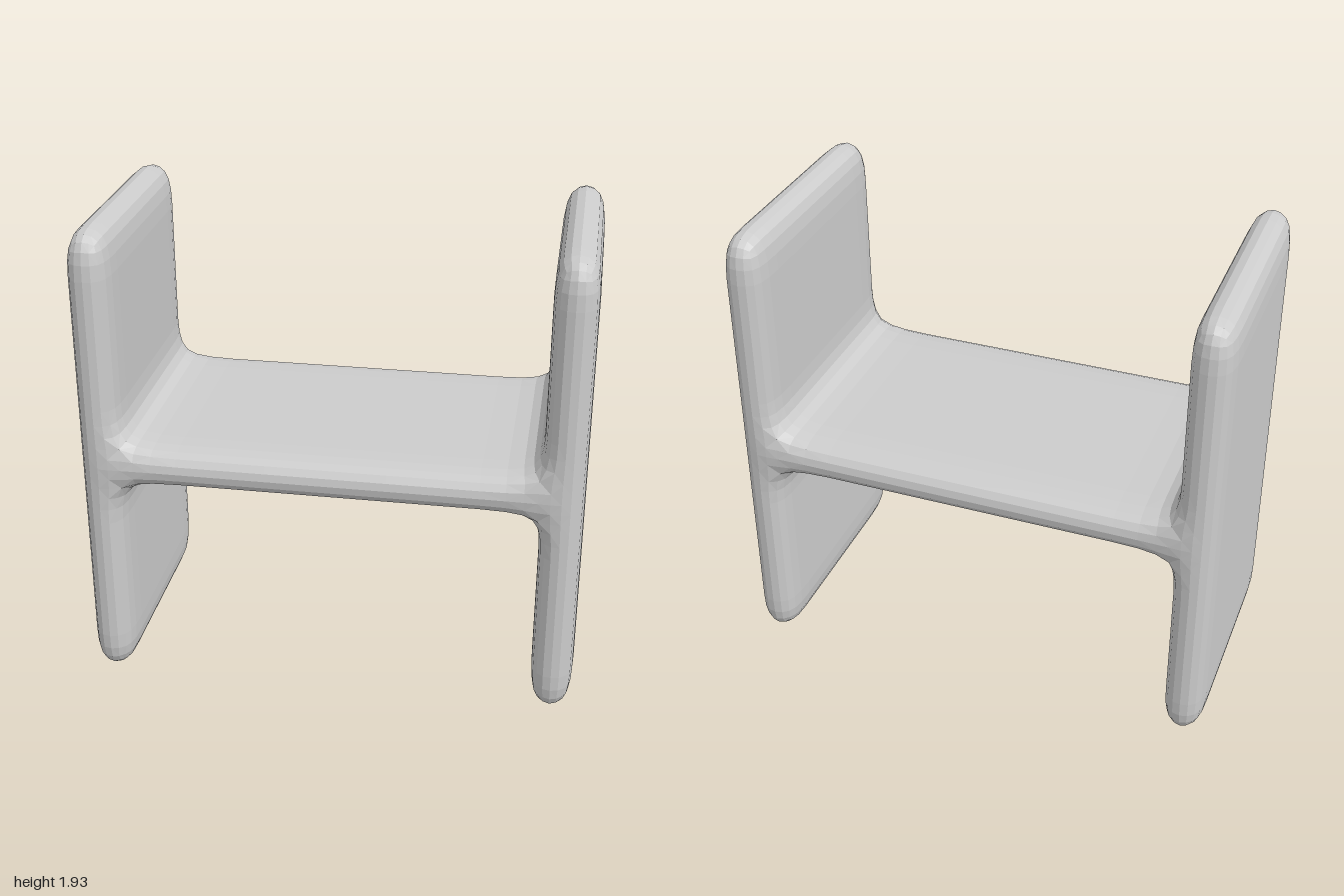
import * as THREE from 'three';

// Cage planes; the occupied cells form two end panels joined by a shelf.
const XS = [-1, -0.83, -0.6, 0.6, 0.83, 1];
const YS = [0, 0.23, 0.69, 0.89, 1.055, 1.25, 1.71, 1.945];
const ZS = [-0.535, -0.33, 0.33, 0.535];

// Quads on the boundary between filled and empty cells, wound outwards.
function buildCage() {
  const filled = (i, j, k) => i >= 0 && i < 5 && j >= 0 && j < 7 && k >= 0 && k < 3 &&
    (i === 0 || i === 4 || j === 3);
  const points = [], faces = [], ids = new Map();
  const vertex = (c) => {
    const key = c.join();
    if (!ids.has(key)) {
      ids.set(key, points.length);
      points.push(new THREE.Vector3(XS[c[0]], YS[c[1]], ZS[c[2]]));
    }
    return ids.get(key);
  };
  for (let i = 0; i < 5; i++) for (let j = 0; j < 7; j++) for (let k = 0; k < 3; k++) {
    if (!filled(i, j, k)) continue;
    for (let axis = 0; axis < 3; axis++) for (const side of [0, 1]) {
      const next = [i, j, k];
      next[axis] += side ? 1 : -1;
      if (filled(...next)) continue;
      const u = (axis + 1) % 3, v = (axis + 2) % 3;
      const quad = [[0, 0], [1, 0], [1, 1], [0, 1]].map(([a, b]) => {
        const c = [i, j, k];
        c[axis] += side; c[u] += a; c[v] += b;
        return vertex(c);
      });
      faces.push(side ? quad : quad.reverse());
    }
  }
  return { points, faces };
}

// One Catmull-Clark step on a closed quad mesh.
function subdivide({ points, faces }) {
  const sum = (list) => list.reduce((s, p) => s.add(p), new THREE.Vector3());
  const out = points.map(() => null), edges = new Map();
  const around = points.map(() => ({ centres: [], mids: [] }));
  const key = (a, b) => (a < b ? a + '_' + b : b + '_' + a);
  const centreIds = faces.map((f) => {
    const centre = sum(f.map((i) => points[i])).multiplyScalar(0.25);
    f.forEach((a, n) => {
      const b = f[(n + 1) % 4], k = key(a, b);
      around[a].centres.push(centre);
      if (!edges.has(k)) edges.set(k, { a, b, centres: [] });
      edges.get(k).centres.push(centre);
    });
    return out.push(centre) - 1;
  });
  for (const e of edges.values()) {
    const mid = points[e.a].clone().add(points[e.b]).multiplyScalar(0.5);
    around[e.a].mids.push(mid);
    around[e.b].mids.push(mid);
    e.id = out.push(sum([points[e.a], points[e.b], ...e.centres]).multiplyScalar(0.25)) - 1;
  }
  points.forEach((p, i) => {
    const { centres, mids } = around[i], n = mids.length;
    out[i] = sum(centres).divideScalar(n)
      .addScaledVector(sum(mids), 2 / n)
      .addScaledVector(p, n - 3).divideScalar(n);
  });
  const quads = faces.flatMap((f, fi) => f.map((a, n) => [
    a, edges.get(key(a, f[(n + 1) % 4])).id, centreIds[fi], edges.get(key(f[(n + 3) % 4], a)).id,
  ]));
  return { points: out, faces: quads };
}

export function createModel() {
  const group = new THREE.Group();
  group.name = 'sideTable';
  const lightGrey = new THREE.MeshStandardMaterial({ color: 0xcccccc, flatShading: true });
  lightGrey.name = 'lightGrey';

  let mesh = buildCage();
  for (let level = 0; level < 2; level++) mesh = subdivide(mesh);

  const geometry = new THREE.BufferGeometry().setFromPoints(mesh.points);
  geometry.setIndex(mesh.faces.flatMap(([a, b, c, d]) => [a, b, c, a, c, d]));
  geometry.computeVertexNormals();
  // Stand the body on the ground.
  geometry.computeBoundingBox();
  geometry.translate(0, -geometry.boundingBox.min.y, 0);

  const body = new THREE.Mesh(geometry, lightGrey);
  body.name = 'panelsAndShelf';
  group.add(body);
  return group;
}
